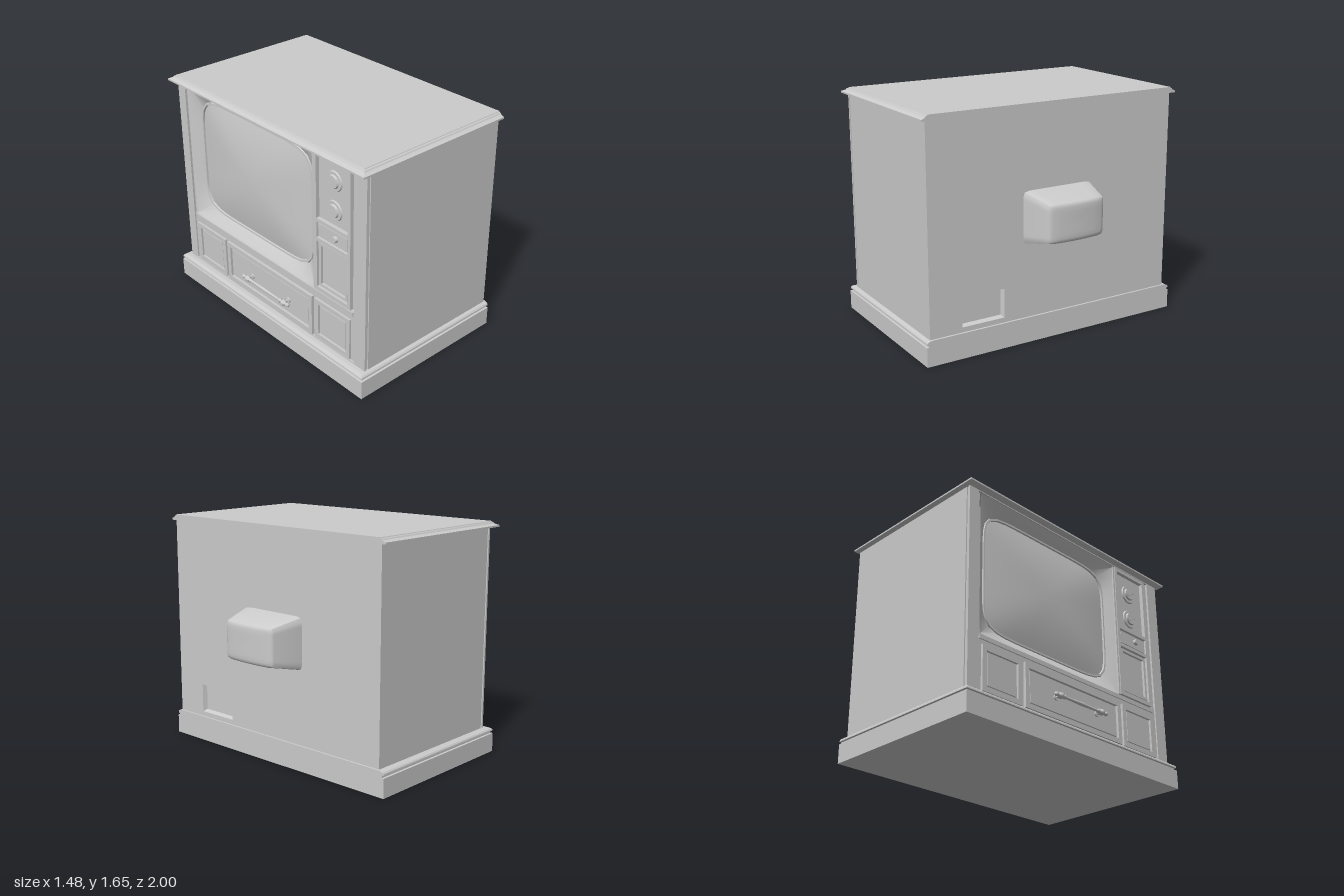
import * as THREE from 'three';
import { toCreasedNormals } from 'three/addons/utils/BufferGeometryUtils.js';

const material = new THREE.MeshStandardMaterial({ color: 0xcccccc });

export function createModel() {
  const model = new THREE.Group();

  const add = (name, geometry, x = 0, y = 0, z = 0) => {
    const mesh = new THREE.Mesh(geometry, material);
    mesh.name = name;
    mesh.position.set(x, y, z);
    model.add(mesh);
    return mesh;
  };

  // Box given by its limits
  const block = (name, x0, x1, y0, y1, z0, z1) =>
    add(name, new THREE.BoxGeometry(x1 - x0, y1 - y0, z1 - z0), (x0 + x1) / 2, (y0 + y1) / 2, (z0 + z1) / 2);

  // Upright plate in the z-y plane, from xBack towards -x, with rectangular holes [z0, z1, y0, y1]
  const trace = (path, [z0, z1, y0, y1]) => {
    path.moveTo(z0, y0);
    path.lineTo(z1, y0);
    path.lineTo(z1, y1);
    path.lineTo(z0, y1);
    path.closePath();
    return path;
  };
  const plate = (name, rect, xBack, depth, holes = []) => {
    const shape = trace(new THREE.Shape(), rect);
    for (const h of holes) shape.holes.push(trace(new THREE.Path(), h));
    const geometry = new THREE.ExtrudeGeometry(shape, { depth, bevelEnabled: false });
    geometry.rotateY(-Math.PI / 2);
    return add(name, geometry, xBack);
  };

  // Skin over successive closed rings of points
  const loft = (rings, capStart, capEnd, crease = 0.5) => {
    const n = rings[0].length;
    const points = rings.flat();
    const index = [];
    for (let i = 0; i < rings.length - 1; i++) {
      for (let j = 0; j < n; j++) {
        const k = (j + 1) % n, a = i * n + j, b = i * n + k;
        index.push(a, b, b + n, a, b + n, a + n);
      }
    }
    const cap = (ring, first, flip) => {
      const c = points.length;
      points.push(ring.reduce((s, p) => s.add(p), new THREE.Vector3()).divideScalar(n));
      for (let j = 0; j < n; j++) {
        const a = first + j, b = first + (j + 1) % n;
        index.push(c, flip ? b : a, flip ? a : b);
      }
    };
    if (capStart) cap(rings[0], 0, true);
    if (capEnd) cap(rings[rings.length - 1], (rings.length - 1) * n, false);
    const geometry = new THREE.BufferGeometry().setFromPoints(points);
    geometry.setIndex(index);
    return toCreasedNormals(geometry, crease);
  };

  // Superellipse ring in the z-y plane; dir is the x direction it is seen from
  const oval = (x, cz, cy, hz, hy, power, dir, n = 64) => Array.from({ length: n }, (_, j) => {
    const t = (j / n) * Math.PI * 2, c = Math.cos(t), s = Math.sin(t);
    const r = Math.pow(Math.abs(c) ** power + Math.abs(s) ** power, -1 / power);
    return new THREE.Vector3(x, cy + s * r * hy, cz - dir * c * r * hz);
  });

  // Moulded slabs: profile of [height, inset], moulded on three sides and flat at the back
  const slab = (name, profile, cz, hz) => add(name, loft(profile.map(([y, d]) => {
    const x0 = -0.725 + d, x1 = 0.51, z0 = cz - hz + d, z1 = cz + hz - d;
    return [[x0, z1], [x1, z1], [x1, z0], [x0, z0]].map(([x, z]) => new THREE.Vector3(x, y, z));
  }), true, true, 0.4));
  slab('plinth', [[0, 0], [0.135, 0], [0.137, 0.014], [0.15, 0.014], [0.153, 0.002],
    [0.163, 0.003], [0.172, 0.01], [0.177, 0.02], [0.18, 0.035]], 0, 1);
  slab('cabinetTop', [[1.612, 0], [1.624, 0], [1.63, 0.016], [1.636, 0.026], [1.645, 0.032],
    [1.647, 0.04], [1.653, 0.043]], 0.005, 0.995);

  // Cabinet body
  const side = [-0.95, 0.97, 0.175, 1.615];
  const opening = [-0.85, 0.85, 0.19, 1.605];
  block('cabinetBody', -0.54, 0.46, 0.175, 1.615, -0.95, 0.97);
  plate('frontCarcass', side, -0.54, 0.1, [opening]);
  plate('frontBead', [-0.942, 0.962, 0.175, 1.615], -0.64, 0.015, [opening]);
  plate('frontPosts', [-0.95, 0.97, 0.175, 1.615], -0.655, 0.015, [[-0.87, 0.87, 0.19, 1.605]]);

  // Back board with a sloping terminal recess
  const recess = [0.41, 0.73, 0.215, 0.42];
  plate('backBoard', side, 0.495, 0.035, [recess]);
  const recessRing = (x, d) => {
    const [z0, z1, y0, y1] = [recess[0] + d, recess[1] - d, recess[2] + d, recess[3] - d];
    return [[z1, y0], [z0, y0], [z0, y1], [z1, y1]].map(([z, y]) => new THREE.Vector3(x, y, z));
  };
  add('terminalRecess', loft([recessRing(0.495, 0), recessRing(0.464, 0.013)], false, true, 0.2));

  // Tube housing: tapered rounded box whose end bows out along its middle
  const housing = [[0.49, 0.272, 0.184], [0.705, 0.222, 0.135], [0.713, 0.217, 0.13], [0.719, 0.207, 0.12],
    [0.722, 0.19, 0.105], [0.722, 0.13, 0.075], [0.722, 0.06, 0.03]]
    .map(([x, hz, hy]) => oval(x, -0.01, 0.885, hz, hy, 16, 1));
  housing.slice(1).flat().forEach((p) => { p.x += 0.018 * (1 - ((p.z + 0.01) / 0.225) ** 2); });
  add('tubeHousing', loft(housing, false, true, 0.7));

  // Picture mask and bulging screen
  const mid = [-0.18, 1.092];
  const ring = (x, hz, hy, power) => oval(x, ...mid, hz, hy, power, -1);
  add('screenMask', loft([ring(-0.662, 0.668, 0.515, 80), ring(-0.655, 0.655, 0.503, 60),
    ring(-0.605, 0.595, 0.44, 7)], false, false));
  add('screenTrim', loft([ring(-0.605, 0.595, 0.44, 7), ring(-0.613, 0.592, 0.437, 7),
    ring(-0.613, 0.58, 0.425, 7), ring(-0.6, 0.578, 0.423, 7)], false, false));
  const glass = [1, 0.9, 0.75, 0.6, 0.45, 0.3, 0.15, 0.04].map((s) =>
    ring(-0.6 - 0.045 * (1 - s * s), 0.58 * s, 0.425 * s, 2 + 5 * s));
  add('screen', loft(glass, false, true, 1));

  // Control column: backing, frame and three inset fields
  const fields = [[0.515, 0.805, 1.13, 1.575], [0.515, 0.805, 0.99, 1.105], [0.515, 0.805, 0.615, 0.965]];
  plate('controlBacking', [0.48, 0.86, 0.57, 1.61], -0.54, 0.105);
  plate('controlFrame', [0.49, 0.83, 0.585, 1.6], -0.645, 0.027, fields);
  plate('controlEdge', [0.475, 0.49, 0.585, 1.6], -0.56, 0.107);
  plate('smallControlDoor', [0.525, 0.795, 1.0, 1.095], -0.645, 0.02);
  plate('speakerFrame', [0.525, 0.795, 0.625, 0.955], -0.645, 0.018, [[0.545, 0.775, 0.645, 0.935]]);

  // Channel dials with grip bars and a small power knob
  const disc = (name, r0, r1, depth, x, y, z) => {
    const geometry = new THREE.CylinderGeometry(r0, r1, depth, 32);
    geometry.rotateZ(Math.PI / 2);
    return add(name, geometry, x, y, z);
  };
  for (const y of [1.44, 1.235]) {
    disc('dialPlate', 0.066, 0.07, 0.01, -0.65, y, 0.66);
    disc('dial', 0.042, 0.048, 0.014, -0.66, y, 0.66);
    const grip = add('dialGrip', new THREE.BoxGeometry(0.016, 0.02, 0.1), -0.671, y, 0.66);
    grip.rotation.x = -0.5;
  }
  disc('powerKnob', 0.02, 0.023, 0.03, -0.672, 1.05, 0.69);

  // Lower front: rail, two side doors and a drawer, each a frame around a raised panel
  plate('lowerRail', [-0.87, 0.87, 0.18, 0.58], -0.54, 0.12);
  plate('railLedge', [-0.85, 0.85, 0.545, 0.575], -0.66, 0.008);
  const panelled = (name, z0, z1, out) => {
    const [y0, y1, w] = [0.2, 0.51, 0.035];
    plate(name + 'Frame', [z0, z1, y0, y1], -0.66, out, [[z0 + w, z1 - w, y0 + w, y1 - w]]);
    plate(name + 'Panel', [z0 + w + 0.012, z1 - w - 0.012, y0 + w + 0.012, y1 - w - 0.012], -0.66, out * 0.6);
  };
  panelled('leftDoor', 0.49, 0.83, 0.016);
  panelled('rightDoor', -0.83, -0.49, 0.016);
  panelled('drawer', -0.465, 0.465, 0.02);

  // Turned drawer handle on two stems
  const half = [[0, 0.255], [0.011, 0.251], [0.016, 0.24], [0.011, 0.228], [0.008, 0.222], [0.017, 0.212],
    [0.022, 0.198], [0.017, 0.184], [0.009, 0.174], [0.016, 0.164], [0.009, 0.154], [0.01, 0.08], [0.013, 0]];
  const turned = [...half.map(([r, l]) => [r, -l]), ...half.slice(0, -1).reverse()];
  const handle = new THREE.LatheGeometry(turned.map(([r, l]) => new THREE.Vector2(r, l)), 24);
  handle.rotateX(Math.PI / 2);
  add('drawerHandle', handle, -0.718, 0.35, 0.015);
  for (const s of [-1, 1]) {
    disc('handleStem', 0.009, 0.009, 0.055, -0.691, 0.35, 0.015 + s * 0.198);
    disc('handleRose', 0.02, 0.02, 0.012, -0.677, 0.35, 0.015 + s * 0.198);
  }

  return model;
}
